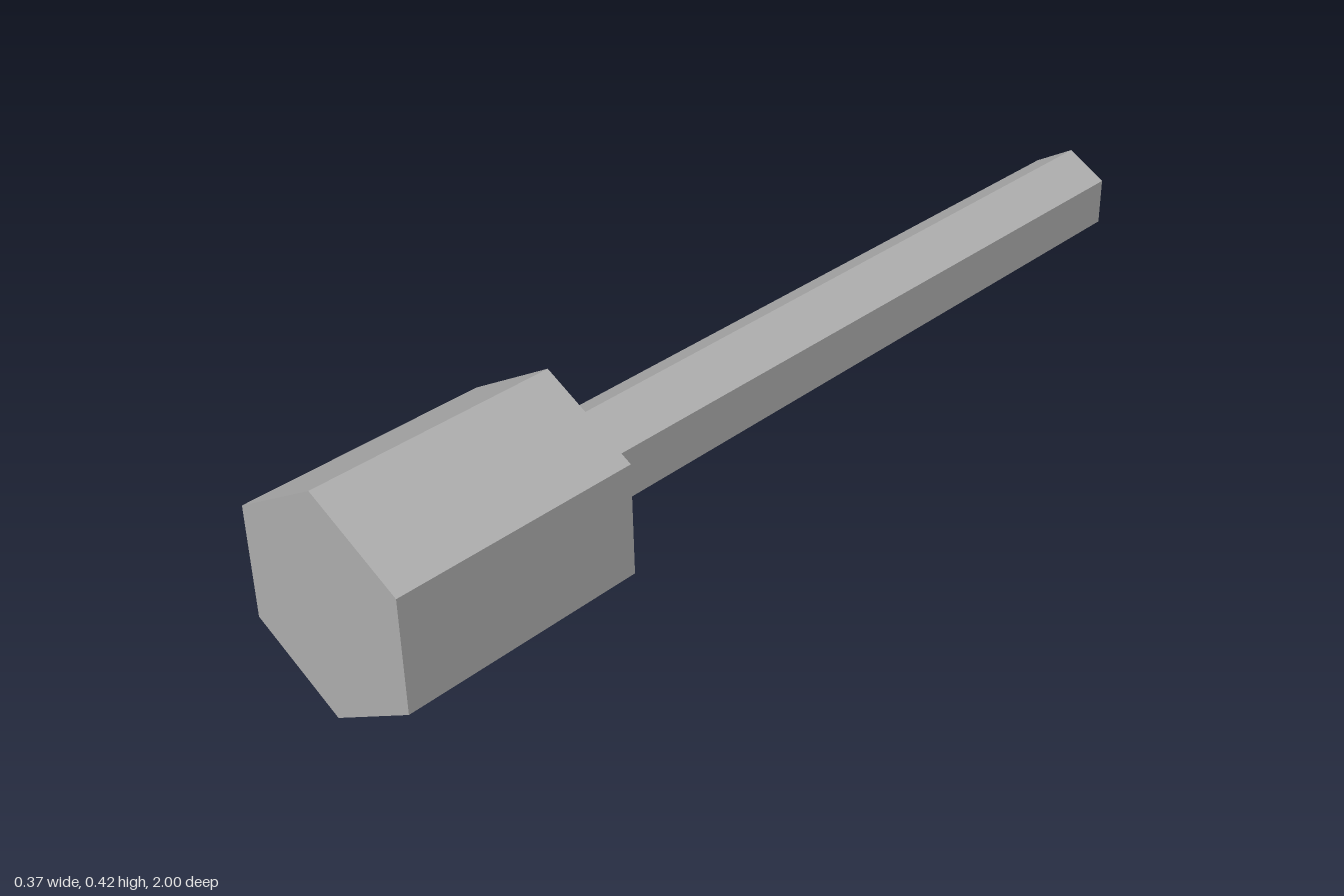
import * as THREE from 'three';

const AXIS_Y = 0.211;

// Hexagonal bar along z, with one corner pointing straight up
function hexBar(name, radius, zBack, zFront, material) {
  const geometry = new THREE.CylinderGeometry(radius, radius, zFront - zBack, 6);
  geometry.rotateX(Math.PI / 2);
  const mesh = new THREE.Mesh(geometry, material);
  mesh.name = name;
  mesh.position.set(0, AXIS_Y, (zFront + zBack) / 2);
  return mesh;
}

export function createModel() {
  const steel = new THREE.MeshStandardMaterial({ color: 0xb0b0b0 });
  steel.name = 'steel grey';
  steel.flatShading = true;

  const bolt = new THREE.Group();
  bolt.name = 'hexBolt';
  bolt.add(
    hexBar('head', 0.211, 0.523, 1, steel),
    hexBar('shaft', 0.095, -1, 0.523, steel),
  );
  return bolt;
}
